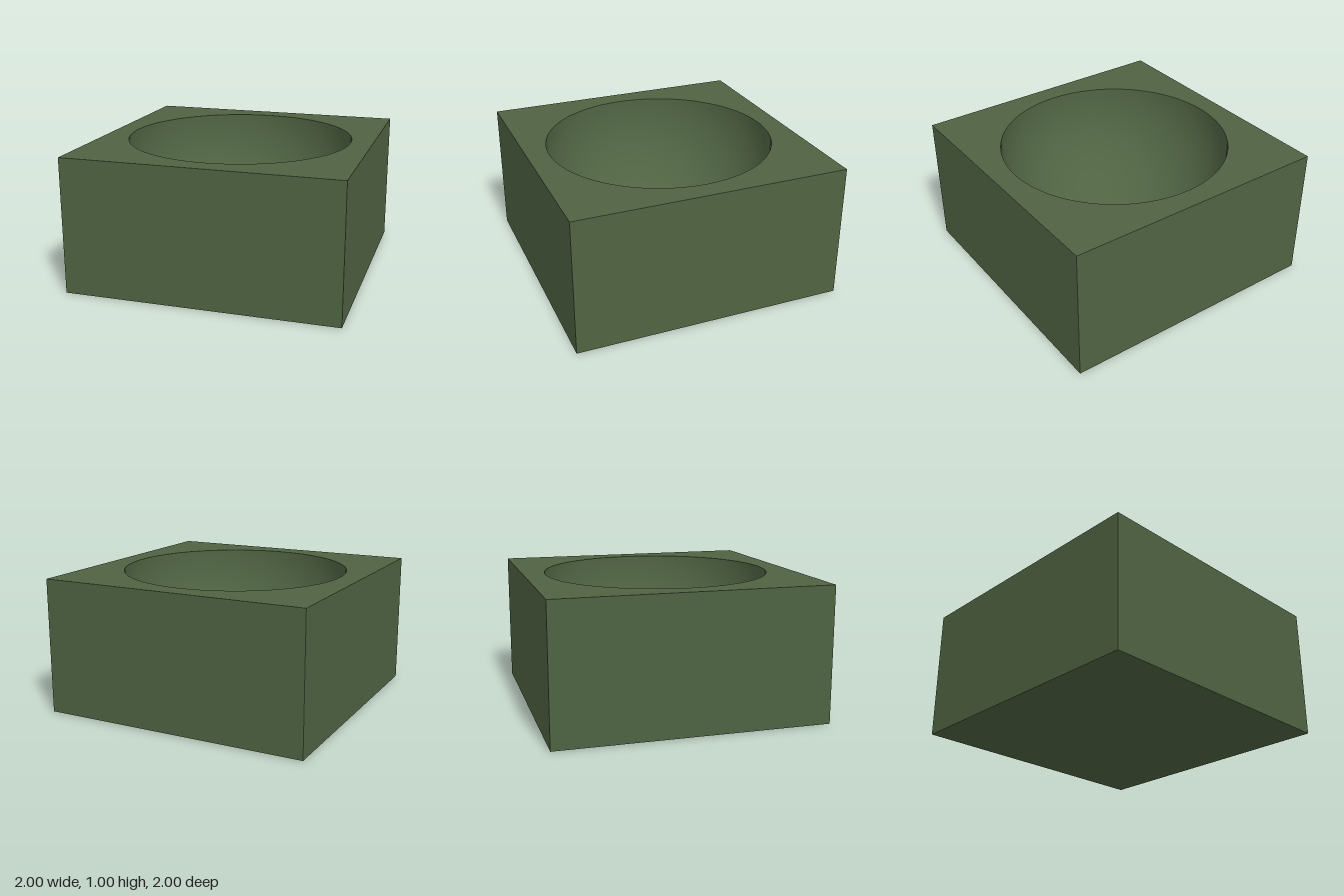
import * as THREE from 'three';

const SIZE = 2, HEIGHT = 1, RADIUS = 0.84, SEGMENTS = 96;

export function createModel() {
  const model = new THREE.Group();
  model.name = 'hollowBlock';
  const material = new THREE.MeshStandardMaterial({ color: 0x4f6342 });

  const add = (name, geometry) => {
    const mesh = new THREE.Mesh(geometry, material);
    mesh.name = name;
    model.add(mesh);
    return mesh;
  };

  // Four upright sides
  ['frontWall', 'leftWall', 'backWall', 'rightWall'].forEach((name, i) => {
    const wall = new THREE.PlaneGeometry(SIZE, HEIGHT);
    wall.translate(0, HEIGHT / 2, SIZE / 2).rotateY(i * Math.PI / 2);
    add(name, wall);
  });

  // Flat underside
  add('base', new THREE.PlaneGeometry(SIZE, SIZE).rotateX(Math.PI / 2));

  // Top face with a round opening
  const h = SIZE / 2;
  const top = new THREE.Shape([
    new THREE.Vector2(-h, -h), new THREE.Vector2(h, -h),
    new THREE.Vector2(h, h), new THREE.Vector2(-h, h),
  ]);
  top.holes.push(new THREE.Path().absarc(0, 0, RADIUS, 0, Math.PI * 2, true));
  add('topRim', new THREE.ShapeGeometry(top, SEGMENTS / 2).rotateX(-Math.PI / 2))
    .position.y = HEIGHT;

  // Hemispherical hollow, profile runs from rim down so it faces inward
  const profile = [];
  const steps = 32;
  for (let i = 0; i <= steps; i++) {
    const a = (i / steps) * Math.PI / 2;
    profile.push(new THREE.Vector2(
      i === steps ? 0 : RADIUS * Math.cos(a), -RADIUS * Math.sin(a)));
  }
  add('bowl', new THREE.LatheGeometry(profile, SEGMENTS)).position.y = HEIGHT;

  return model;
}
